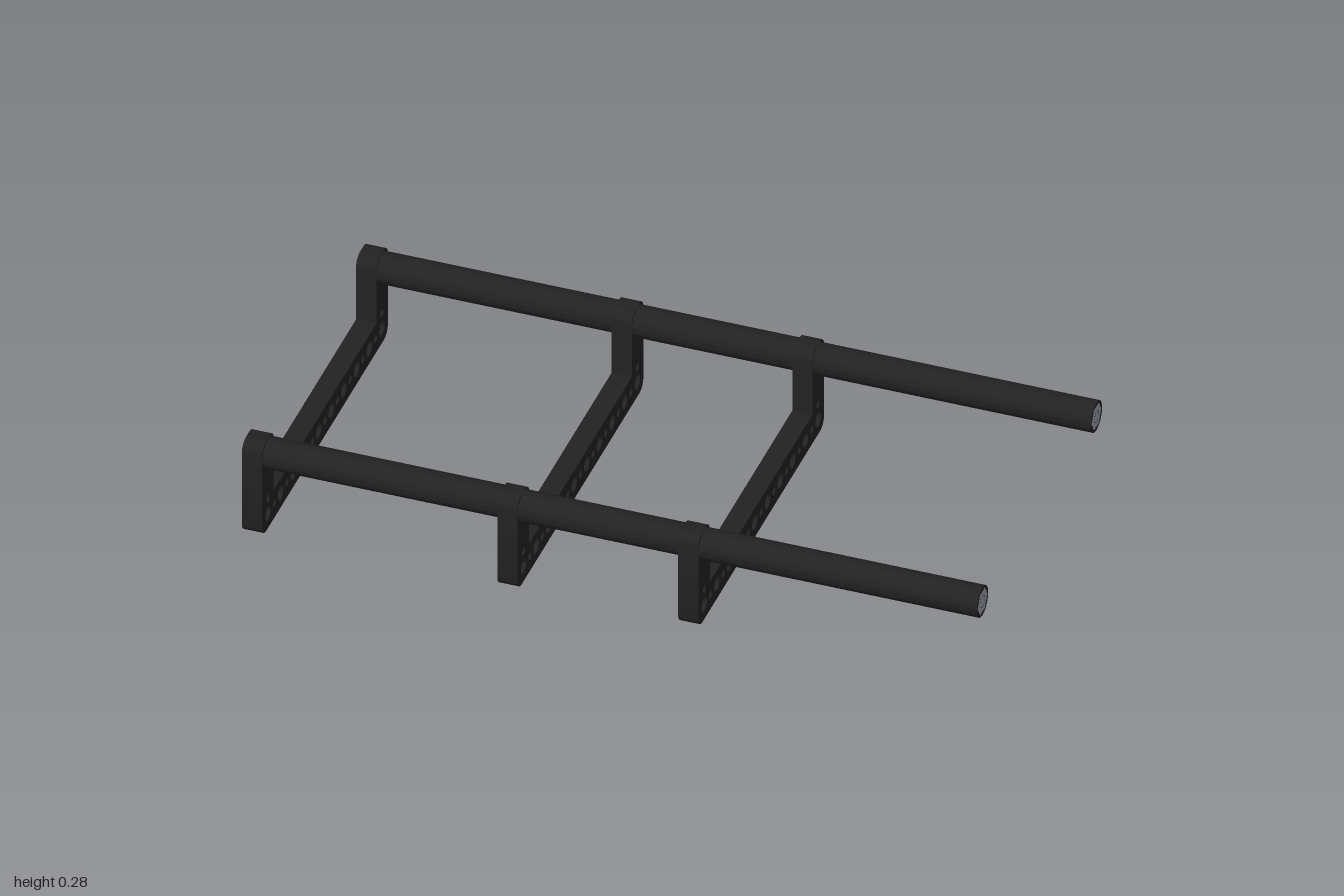
import * as THREE from 'three';
import { toCreasedNormals } from 'three/addons/utils/BufferGeometryUtils.js';

const black = new THREE.MeshStandardMaterial({ color: 0x222222 });
black.name = 'matte black';
const steel = new THREE.MeshStandardMaterial({ color: 0x989ea9 });
steel.name = 'grey steel';

const HALF = 0.477, BAR = 0.09, TOP = 0.283, CORNER = 0.03;
const RAIL_Z = 0.432, RAIL_Y = 0.239, RAIL_R = 0.043, HEX_R = 0.037;

function circle(x, y, r) {
  return new THREE.Path().absarc(x, y, r, 0, Math.PI * 2, true);
}

function hexPoints(x, y) {
  return Array.from({ length: 6 }, (_, i) => {
    const a = (i * Math.PI) / 3;
    return new THREE.Vector2(x + HEX_R * Math.cos(a), y + HEX_R * Math.sin(a));
  });
}

// Extrudes a profile drawn in the z-y plane along x, starting at x0
function extrudeX(shape, x0, length, curveSegments) {
  const geo = new THREE.ExtrudeGeometry(shape, { depth: length, bevelEnabled: false, curveSegments });
  geo.rotateY(Math.PI / 2);
  geo.translate(x0, 0, 0);
  return toCreasedNormals(geo, 0.6);
}

// U-shaped outline with rounded outer corners, rail sockets and rows of holes
function bracketShape() {
  const s = new THREE.Shape();
  const inner = HALF - 0.088, c = CORNER, H = HALF;
  s.moveTo(-H + c, 0);
  s.lineTo(H - c, 0);
  s.absarc(H - c, c, c, -Math.PI / 2, 0);
  s.lineTo(H, TOP - c);
  s.absarc(H - c, TOP - c, c, 0, Math.PI / 2);
  s.lineTo(inner + c, TOP);
  s.absarc(inner + c, TOP - c, c, Math.PI / 2, Math.PI);
  s.lineTo(inner, BAR);
  s.lineTo(-inner, BAR);
  s.lineTo(-inner, TOP - c);
  s.absarc(-inner - c, TOP - c, c, 0, Math.PI / 2);
  s.lineTo(-H + c, TOP);
  s.absarc(-H + c, TOP - c, c, Math.PI / 2, Math.PI);
  s.lineTo(-H, c);
  s.absarc(-H + c, c, c, Math.PI, Math.PI * 1.5);

  // Alternating large and small holes along the bar
  for (let i = 0; i < 19; i++) {
    s.holes.push(circle(-RAIL_Z + i * RAIL_Z / 9, 0.046, i % 2 ? 0.0115 : 0.021));
  }
  for (const side of [-1, 1]) {
    s.holes.push(circle(side * RAIL_Z, 0.094, 0.0115));
    s.holes.push(circle(side * RAIL_Z, RAIL_Y, RAIL_R));
  }
  return s;
}

export function createModel() {
  const model = new THREE.Group();
  model.name = 'railFrame';
  const add = (name, geo, mat) => {
    const mesh = new THREE.Mesh(geo, mat);
    mesh.name = name;
    model.add(mesh);
    return mesh;
  };

  // Three cross brackets
  const bracket = extrudeX(bracketShape(), -0.0275, 0.055, 16);
  const names = ['endBracket', 'middleBracket', 'innerBracket'];
  [-0.9725, -0.277, 0.215].forEach((x, i) => {
    add(names[i], bracket, black).position.x = x;
  });

  // Two rails, each a round tube around a hexagonal core
  for (const side of [-1, 1]) {
    const label = side > 0 ? 'front' : 'back';
    const z = -side * RAIL_Z;
    const tube = new THREE.Shape().absarc(z, RAIL_Y, RAIL_R, 0, Math.PI * 2);
    tube.holes.push(new THREE.Path(hexPoints(z, RAIL_Y).reverse()).closePath());
    add(label + 'Rail', extrudeX(tube, -1, 2, 20), black);
    add(label + 'HexCore', extrudeX(new THREE.Shape(hexPoints(z, RAIL_Y)), -1, 2, 1), steel);

    // Thin bore outline on each end of the core
    for (const end of [-1, 1]) {
      const ring = add(label + 'BoreRing', new THREE.RingGeometry(0.016, 0.0175, 32), black);
      ring.rotation.y = end * Math.PI / 2;
      ring.position.set(end * 1.0005, RAIL_Y, side * RAIL_Z);
    }
  }
  return model;
}
